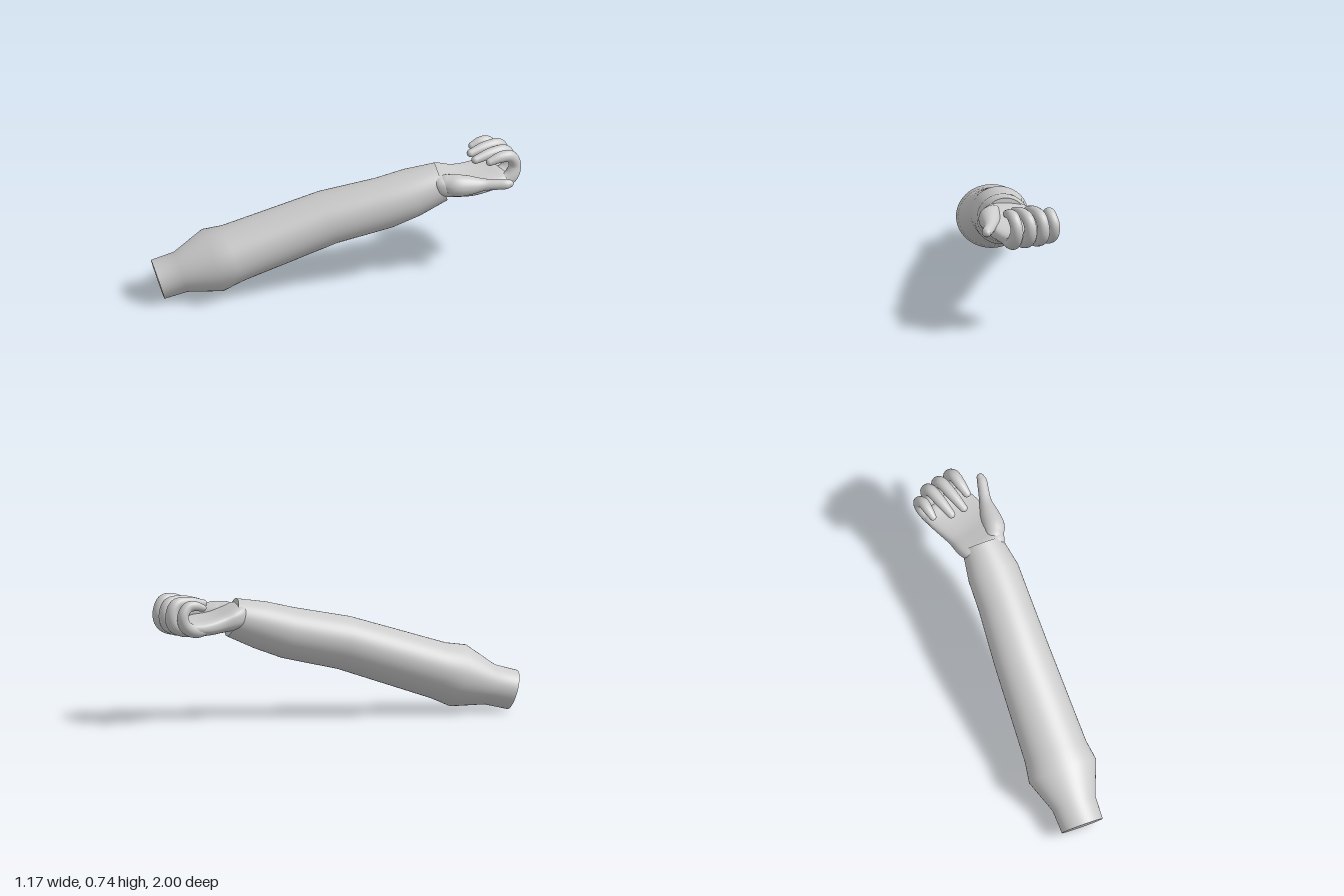
import * as THREE from 'three';

const V = (x, y, z) => new THREE.Vector3(x, y, z);
const mat = new THREE.MeshStandardMaterial({ color: 0xcccccc });

// Skin a list of closed rings; every ring is an array of points counter-clockwise about its direction of travel.
function skin(name, rings, flatCaps) {
  const n = rings[0].length, pos = [], idx = [];
  const push = p => pos.push(p.x, p.y, p.z);
  rings.forEach(r => r.forEach(push));
  for (let i = 0; i < rings.length - 1; i++) {
    for (let j = 0; j < n; j++) {
      const k = (j + 1) % n, a = i * n, b = a + n;
      idx.push(a + j, a + k, b + j, a + k, b + k, b + j);
    }
  }
  [0, rings.length - 1].forEach((ri, end) => {
    const ring = rings[ri];
    let base = ri * n;
    if (flatCaps) {
      base = pos.length / 3;
      ring.forEach(push);
    }
    const c = pos.length / 3;
    push(ring.reduce((s, p) => s.add(p), V(0, 0, 0)).divideScalar(n));
    for (let j = 0; j < n; j++) {
      const k = (j + 1) % n;
      if (end) idx.push(c, base + j, base + k);
      else idx.push(c, base + k, base + j);
    }
  });
  const geo = new THREE.BufferGeometry();
  geo.setAttribute('position', new THREE.Float32BufferAttribute(pos, 3));
  geo.setIndex(idx);
  geo.computeVertexNormals();
  const mesh = new THREE.Mesh(geo, mat);
  mesh.name = name;
  return mesh;
}

// Elliptical ring around c, facing direction t, with half-size a along side.
function ellipse(c, t, side, a, b, n) {
  const n1 = side.clone().addScaledVector(t, -side.dot(t)).normalize();
  const n2 = t.clone().cross(n1);
  return Array.from({ length: n }, (_, j) => {
    const th = j / n * Math.PI * 2;
    return c.clone().addScaledVector(n1, a * Math.cos(th)).addScaledVector(n2, b * Math.sin(th));
  });
}

// Smooth tapering tube with rounded ends; pts rows are [x, y, z, radius].
function digit(name, pts, side, squash = 1) {
  const path = new THREE.CatmullRomCurve3(pts.map(p => V(p[0], p[1], p[2])), false, 'catmullrom');
  const size = new THREE.CatmullRomCurve3(pts.map(p => V(p[3], 0, 0)), false, 'catmullrom');
  const rings = [], steps = 32, round = 6;
  const add = (u, off, k) => {
    const t = path.getTangent(u), r = size.getPoint(u).x;
    const c = path.getPoint(u).addScaledVector(t, off * r);
    rings.push(ellipse(c, t, side, r * k, r * k * squash, 20));
  };
  for (let i = 1; i < round; i++) {
    const q = i / round * Math.PI / 2;
    add(0, -Math.cos(q), Math.sin(q));
  }
  for (let i = 0; i <= steps; i++) add(i / steps, 0, 1);
  for (let i = 1; i < round; i++) {
    const q = i / round * Math.PI / 2;
    add(1, Math.sin(q), Math.cos(q));
  }
  return skin(name, rings, false);
}

// Sleeve: straight runs between oval rings, [x, y, z, half width, half height]
function makeSleeve() {
  const dir = V(0.745, 0.475, -1.465).normalize();
  const side = V(0.89, 0, 0.45);
  const rows = [
    [-0.475, 0.11, 0.94, 0.124, 0.115],
    [-0.415, 0.145, 0.82, 0.13, 0.118],
    [-0.33, 0.203, 0.655, 0.204, 0.182],
    [-0.28, 0.235, 0.555, 0.186, 0.165],
    [-0.027, 0.415, 0.06, 0.166, 0.155],
    [0.13, 0.482, -0.225, 0.152, 0.149],
    [0.203, 0.532, -0.37, 0.15, 0.138],
    [0.275, 0.583, -0.525, 0.118, 0.112]
  ];
  return skin('sleeve', rows.map(r => ellipse(V(r[0], r[1], r[2]), dir, side, r[3], r[4], 48)), true);
}

// Palm: rounded sections with a hollow on the upper side, [z, x, y, half width, half height, hollow, skew]
function makePalm() {
  const rows = [
    [-0.445, 0.265, 0.60, 0.05, 0.03, 0, 0.3],
    [-0.46, 0.265, 0.60, 0.095, 0.055, 0, 0.3],
    [-0.50, 0.268, 0.598, 0.126, 0.076, 0.01, 0.3],
    [-0.56, 0.283, 0.588, 0.142, 0.078, 0.025, 0.25],
    [-0.64, 0.308, 0.57, 0.152, 0.068, 0.03, 0.15],
    [-0.72, 0.313, 0.557, 0.152, 0.06, 0.025, 0.08],
    [-0.80, 0.315, 0.552, 0.152, 0.051, 0.015, 0.05],
    [-0.86, 0.318, 0.556, 0.148, 0.043, 0.005, 0.05],
    [-0.885, 0.32, 0.56, 0.13, 0.03, 0, 0.05],
    [-0.895, 0.32, 0.56, 0.1, 0.015, 0, 0.05]
  ];
  const at = new THREE.Vector3(), n = 40;
  const col = k => new THREE.CatmullRomCurve3(rows.map(r => V(r[k], r[k + 1], r[k + 2])), false, 'catmullrom');
  const a = col(0), b = col(3), skews = rows.map(r => r[6]);
  const rings = [];
  for (let i = 0; i <= 45; i++) {
    const u = i / 45, f = u * (rows.length - 1), lo = Math.min(Math.floor(f), rows.length - 2);
    const skew = THREE.MathUtils.lerp(skews[lo], skews[lo + 1], f - lo);
    a.getPoint(u, at);
    const s = b.getPoint(u);
    rings.push(Array.from({ length: n }, (_, j) => {
      const th = j / n * Math.PI * 2, c = Math.cos(th), d = -Math.sin(th);
      const x = s.x * Math.sign(c) * Math.pow(Math.abs(c), 0.8);
      const y = s.y * Math.sign(d) * Math.pow(Math.abs(d), 0.8) - (d > 0 ? s.z * d * d * d : 0);
      return V(at.y + x, at.z + y, at.x + skew * x);
    }));
  }
  return skin('palm', rings, false);
}

export function createModel() {
  const model = new THREE.Group();
  model.name = 'arm';
  const hand = new THREE.Group();
  hand.name = 'hand';
  model.add(makeSleeve(), hand);
  hand.add(makePalm());

  // Curled fingers: base x, knuckle x, tip x, outermost z, tip z, top y, thickness
  const fingers = [
    ['littleFinger', 0.205, 0.206, 0.182, -0.985, -0.825, 0.722, 0.9],
    ['ringFinger', 0.28, 0.287, 0.262, -1.0, -0.755, 0.732, 1],
    ['middleFinger', 0.355, 0.363, 0.338, -0.985, -0.73, 0.73, 1],
    ['indexFinger', 0.427, 0.442, 0.415, -0.965, -0.775, 0.735, 1]
  ];
  for (const [name, bx, kx, tx, zo, zt, top, w] of fingers) {
    const y = top - 0.035;
    hand.add(digit(name, [
      [bx, 0.55, -0.77, 0.038 * w],
      [bx, 0.54, -0.85, 0.042 * w],
      [kx, 0.57, zo + 0.06, 0.041 * w],
      [kx, 0.632, zo + 0.036, 0.036 * w],
      [kx, y - 0.005, zo + 0.07, 0.035 * w],
      [(kx + tx) / 2, y + 0.002, (zo + 0.07 + zt) / 2, 0.032 * w],
      [tx, y - 0.012, zt + 0.005, 0.023 * w]
    ], V(1, 0, 0)));
  }

  // Thumb, with the fleshy ball at its base
  hand.add(digit('thumb', [
    [0.355, 0.61, -0.505, 0.055],
    [0.395, 0.602, -0.545, 0.064],
    [0.432, 0.597, -0.61, 0.056],
    [0.475, 0.596, -0.68, 0.036],
    [0.518, 0.598, -0.735, 0.031],
    [0.55, 0.6, -0.775, 0.029],
    [0.562, 0.602, -0.798, 0.023]
  ], V(0, 1, 0)));
  return model;
}
